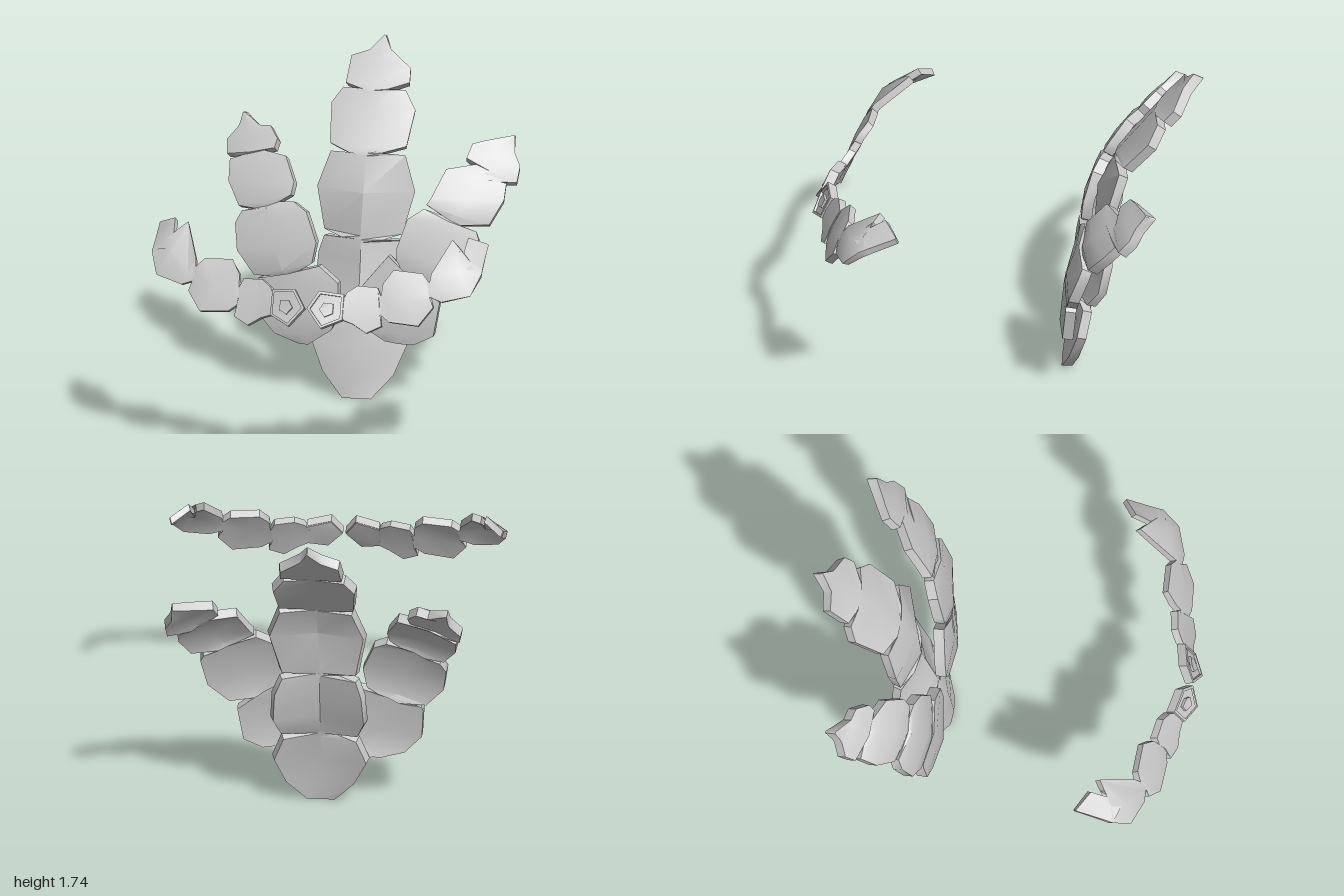
import * as THREE from 'three';
import { toCreasedNormals } from 'three/addons/utils/BufferGeometryUtils.js';

const material = new THREE.MeshStandardMaterial({ color: 0xcccccc });

// Linear interpolation through [input, output] points
function interpolate(table, t) {
  if (t <= table[0][0]) return table[0][1];
  for (let i = 1; i < table.length; i++) {
    const [a, za] = table[i - 1], [b, zb] = table[i];
    if (t <= b) return za + (zb - za) * (t - a) / (b - a);
  }
  return table[table.length - 1][1];
}

// Depth rules: how far each plume lies forward at a given x, y
const centreCurve = [[0, -0.28], [0.27, -0.31], [0.43, -0.355], [0.8, -0.445], [1.05, -0.465],
  [1.25, -0.56], [1.5, -0.75], [1.74, -0.96]];
const centreSweep = [[0.27, 1.2], [0.5, 1.8], [0.8, 1.8], [1.05, 1.2]];
const sideCurve = [[0.4, -0.315], [0.67, -0.345], [0.9, -0.38], [1.06, -0.445], [1.24, -0.56],
  [1.32, -0.64], [1.49, -0.79]];
const frontCurve = [[0, 0.955], [0.1, 0.95], [0.2, 0.91], [0.3, 0.88], [0.5, 0.855], [0.7, 0.83],
  [0.8, 0.815], [0.87, 0.74]];
const centreDepth = (x, y) => interpolate(centreCurve, y) - interpolate(centreSweep, y) * x * x;
const sideDepth = (x, y) => interpolate(sideCurve, Math.abs(x) * 0.48 + y * 0.877);
const frontDepth = (x, y) => {
  const rise = Math.max(0, y - 1.07), reach = Math.max(0, Math.abs(x) - 0.75);
  return interpolate(frontCurve, Math.abs(x)) - 0.45 * (y - 0.9) - rise * (0.8 + 8 * reach);
};

// Lobed slab: each row is [left x, left y, right x, right y], with a raised midrib between
function lobedSlab(name, rows, depth, bulge, thickness) {
  const sections = rows.map(([lx, ly, rx, ry]) => {
    const mx = (lx + rx) / 2, my = (ly + ry) / 2;
    const rise = bulge * Math.min(1, Math.hypot(rx - lx, ry - ly) / 0.3);
    return [[lx, ly, depth(lx, ly)], [mx, my, depth(mx, my) + rise], [rx, ry, depth(rx, ry)]];
  });
  // The back lies square to the local slope
  const back = ([x, y, z]) => {
    const e = 0.05;
    const n = new THREE.Vector3(depth(x - e, y) - depth(x + e, y),
      depth(x, y - e) - depth(x, y + e), 2 * e).setLength(thickness);
    return [x - n.x * 0.5, Math.max(0, y - n.y), z - n.z];
  };
  const positions = [];
  const quad = (a, b, c, d) => positions.push(...a, ...b, ...c, ...a, ...c, ...d);
  for (let i = 0; i + 1 < sections.length; i++) {
    const s = sections[i], n = sections[i + 1];
    for (let k = 0; k < 2; k++) {
      quad(s[k], s[k + 1], n[k + 1], n[k]);
      quad(back(s[k + 1]), back(s[k]), back(n[k]), back(n[k + 1]));
    }
    quad(back(s[0]), s[0], n[0], back(n[0]));
    quad(s[2], back(s[2]), back(n[2]), n[2]);
  }
  // End caps
  const first = sections[0], last = sections[sections.length - 1];
  for (let k = 0; k < 2; k++) {
    quad(back(first[k]), back(first[k + 1]), first[k + 1], first[k]);
    quad(last[k], last[k + 1], back(last[k + 1]), back(last[k]));
  }
  const geometry = new THREE.BufferGeometry();
  geometry.setAttribute('position', new THREE.Float32BufferAttribute(positions, 3));
  const mesh = new THREE.Mesh(toCreasedNormals(geometry, 0.6), material);
  mesh.name = name;
  return mesh;
}

// Tall middle plume, bottom to tip
const centreRows = [
  [-0.07, 0, 0.08, 0], [-0.18, 0.12, 0.19, 0.12], [-0.25, 0.27, 0.25, 0.27],
  [-0.2, 0.405, 0.2, 0.405], [-0.09, 0.425, 0.1, 0.425], [-0.21, 0.445, 0.21, 0.445],
  [-0.25, 0.54, 0.25, 0.54], [-0.24, 0.7, 0.24, 0.7], [-0.21, 0.79, 0.2, 0.79],
  [-0.11, 0.805, 0.11, 0.805], [-0.21, 0.825, 0.2, 0.825], [-0.25, 1.05, 0.26, 1.05],
  [-0.19, 1.225, 0.2, 1.225], [-0.08, 1.23, 0.08, 1.24], [-0.2, 1.26, 0.2, 1.265],
  [-0.22, 1.43, 0.22, 1.42], [-0.165, 1.505, 0.16, 1.51], [-0.06, 1.51, 0.07, 1.515],
  [-0.155, 1.525, 0.175, 1.54], [-0.145, 1.64, 0.17, 1.6], [-0.05, 1.675, 0.06, 1.68],
  [0.015, 1.74, 0.02, 1.74],
];

// Side plumes, differing slightly from each other
const rightRows = [
  [-0.3, 0.265, -0.25, 0.265], [-0.43, 0.31, -0.13, 0.35], [-0.52, 0.41, -0.09, 0.45],
  [-0.53, 0.57, -0.1, 0.6], [-0.52, 0.59, -0.2, 0.68], [-0.4, 0.605, -0.3, 0.65],
  [-0.545, 0.605, -0.24, 0.69], [-0.64, 0.72, -0.22, 0.8], [-0.66, 0.85, -0.28, 0.95],
  [-0.63, 0.91, -0.35, 0.99], [-0.55, 0.93, -0.43, 0.98], [-0.65, 0.93, -0.37, 1.02],
  [-0.72, 1.03, -0.36, 1.08], [-0.73, 1.12, -0.42, 1.19], [-0.66, 1.15, -0.55, 1.19],
  [-0.75, 1.14, -0.49, 1.21], [-0.76, 1.2, -0.48, 1.25], [-0.71, 1.26, -0.53, 1.3],
  [-0.7, 1.28, -0.59, 1.29], [-0.69, 1.33, -0.68, 1.33],
];
const leftRows = [
  [0.15, 0.31, 0.3, 0.3], [0.05, 0.37, 0.4, 0.35], [0, 0.5, 0.43, 0.53],
  [0.03, 0.6, 0.39, 0.56], [0.16, 0.76, 0.37, 0.58], [0.24, 0.67, 0.34, 0.6],
  [0.2, 0.74, 0.47, 0.58], [0.2, 0.8, 0.58, 0.68], [0.25, 0.95, 0.615, 0.85],
  [0.33, 1.0, 0.6, 0.89], [0.42, 0.97, 0.52, 0.92], [0.34, 1.02, 0.66, 0.92],
  [0.36, 1.05, 0.72, 1.03], [0.42, 1.18, 0.72, 1.1], [0.56, 1.19, 0.65, 1.11],
  [0.51, 1.22, 0.77, 1.1], [0.53, 1.28, 0.775, 1.17], [0.59, 1.29, 0.74, 1.23],
  [0.725, 1.305, 0.73, 1.3],
];

// Front band, from the middle outwards: [top x, top y, bottom x, bottom y]
const bandRows = [
  [0.18, 0.95, 0.19, 0.86], [0.2, 0.99, 0.24, 0.84], [0.25, 1.02, 0.31, 0.795],
  [0.35, 1.01, 0.385, 0.83], [0.37, 0.97, 0.365, 0.89], [0.375, 1.03, 0.42, 0.85],
  [0.42, 1.09, 0.57, 0.835], [0.57, 1.08, 0.64, 0.925], [0.61, 1.04, 0.61, 0.975],
  [0.615, 1.08, 0.68, 0.95], [0.69, 1.21, 0.82, 0.975], [0.735, 1.18, 0.862, 1.07],
  [0.75, 1.1, 0.86, 1.09], [0.765, 1.215, 0.859, 1.13], [0.855, 1.165, 0.859, 1.16],
];

// Pentagon plate with an optional hole, laid on the band's slope
const pentagon = [[0.187, 0.98], [0.063, 1.0], [0.006, 0.915], [0.085, 0.825], [0.188, 0.86]];
function pentagonPlate(name, side, outer, inner, from, depth) {
  const points = scale => pentagon.map(([x, y]) => new THREE.Vector2(
    side * (0.109 + (x - 0.109) * scale), 0.913 + (y - 0.913) * scale));
  const shape = new THREE.Shape(points(outer));
  if (inner) shape.holes.push(new THREE.Path(points(inner)));
  const geometry = new THREE.ExtrudeGeometry(shape, { depth, bevelEnabled: false });
  const p = geometry.attributes.position;
  for (let i = 0; i < p.count; i++) {
    const x = p.getX(i), y = p.getY(i), lift = p.getZ(i) + from;
    p.setXYZ(i, x, y + lift * 0.5, lift + frontDepth(x, y));
  }
  const mesh = new THREE.Mesh(toCreasedNormals(geometry, 0.6), material);
  mesh.name = name;
  return mesh;
}

export function createModel() {
  const model = new THREE.Group();
  model.name = 'featherArmour';

  // Back plumes
  model.add(lobedSlab('centrePlume', centreRows, centreDepth, 0, 0.055));
  model.add(lobedSlab('rightPlume', rightRows, sideDepth, 0.025, 0.055));
  model.add(lobedSlab('leftPlume', leftRows, sideDepth, 0.025, 0.055));

  // Front bands and clasps
  const mirroredRows = bandRows.map(([tx, ty, bx, by]) => [-bx, by, -tx, ty]);
  for (const side of [1, -1]) {
    const label = side > 0 ? 'left' : 'right';
    const rows = side > 0 ? bandRows : mirroredRows;
    model.add(lobedSlab(label + 'FrontBand', rows, frontDepth, 0.012, 0.04));

    const clasp = new THREE.Group();
    clasp.name = label + 'Clasp';
    clasp.add(pentagonPlate('claspPlate', side, 0.97, 0, -0.035, 0.035));
    clasp.add(pentagonPlate('claspRim', side, 1, 0.84, -0.03, 0.04));
    clasp.add(pentagonPlate('claspStud', side, 0.38, 0, -0.005, 0.013));
    model.add(clasp);
  }
  return model;
}
